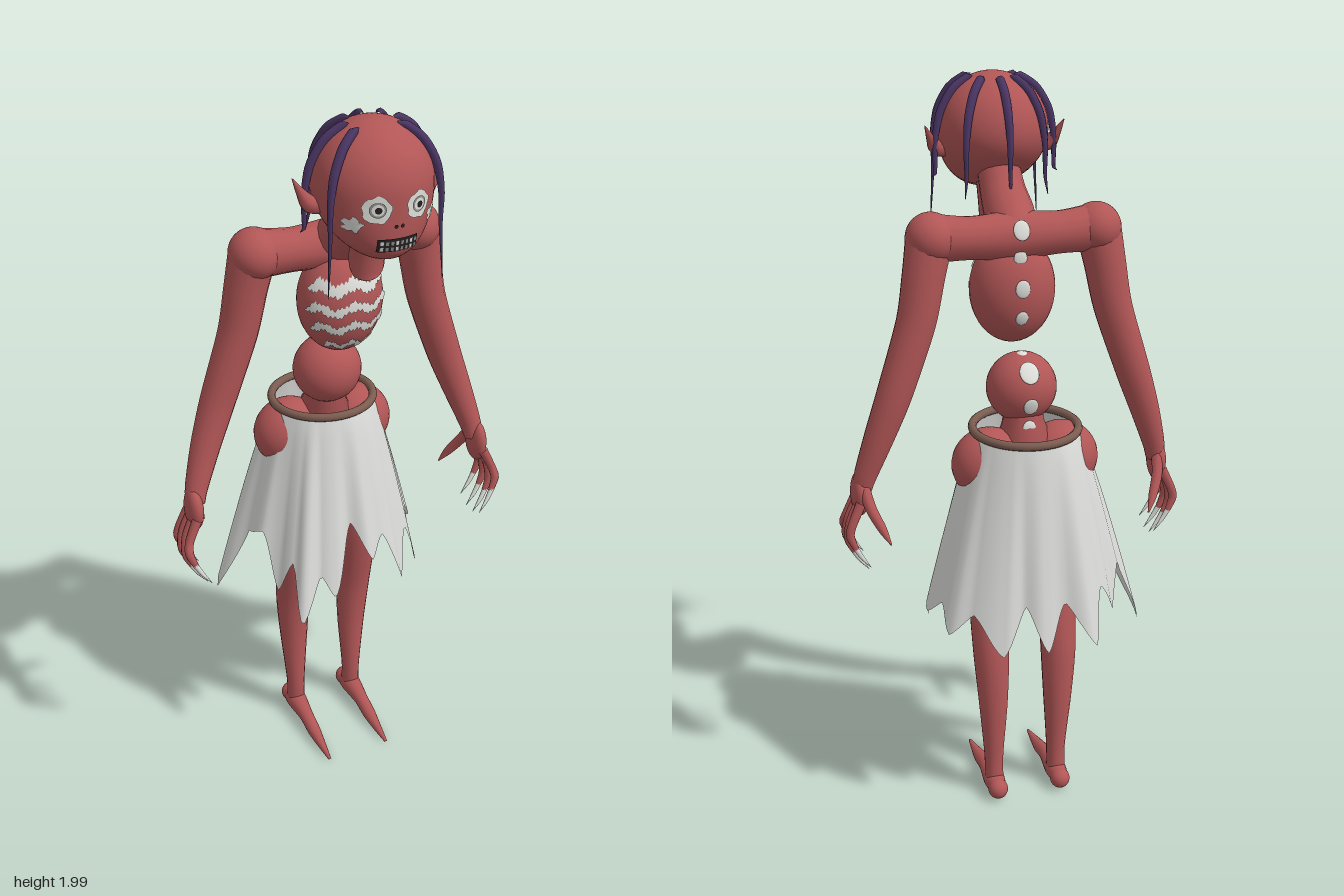
import * as THREE from 'three';

const mat = (name, color, side = THREE.FrontSide) => {
  const m = new THREE.MeshStandardMaterial({ color, side });
  m.name = name;
  return m;
};

export function createModel() {
  const root = new THREE.Group();
  const skin = mat('red skin', 0xb25656);
  const bone = mat('bone white', 0xdededa, THREE.DoubleSide);
  const cloth = mat('ragged cloth', 0xdcdcda, THREE.DoubleSide);
  const hairMat = mat('purple hair', 0x4a3563);
  const leather = mat('brown belt', 0x7b5c50);
  const grey = mat('iris grey', 0x8f918c, THREE.DoubleSide);
  const dark = mat('dark', 0x262022, THREE.DoubleSide);

  const add = (name, geo, material) => {
    const m = new THREE.Mesh(geo, material);
    m.name = name;
    root.add(m);
    return m;
  };
  const ball = (name, p, r, material = skin) => {
    const m = add(name, new THREE.SphereGeometry(1, 32, 24), material);
    m.position.set(...p);
    m.scale.set(...r);
    return m;
  };
  // Tube through [x, y, z, radius] stations
  const limb = (name, pts, material = skin, segs = 28, sides = 16) => {
    const curve = new THREE.CatmullRomCurve3(pts.map(p => new THREE.Vector3(p[0], p[1], p[2])), false, 'catmullrom', 0.4);
    const radii = new THREE.CatmullRomCurve3(pts.map(p => new THREE.Vector3(p[3], 0, 0)), false, 'catmullrom', 0.4);
    const g = new THREE.TubeGeometry(curve, segs, 1, sides);
    const pos = g.attributes.position, v = new THREE.Vector3();
    for (let i = 0; i <= segs; i++) {
      const c = curve.getPointAt(i / segs);
      const r = Math.max(0.0005, radii.getPoint(curve.getUtoTmapping(i / segs)).x);
      for (let j = 0; j <= sides; j++) {
        const k = i * (sides + 1) + j;
        v.fromBufferAttribute(pos, k).sub(c).multiplyScalar(r).add(c);
        pos.setXYZ(k, v.x, v.y, v.z);
      }
    }
    return add(name, g, material);
  };

  // Head: a sphere whose lower half is drawn forward into a chin
  const R = 0.148, HY = 1.847, HZ = 0.183;
  const headGeo = new THREE.SphereGeometry(R, 48, 36);
  const hp = headGeo.attributes.position;
  for (let i = 0; i < hp.count; i++) {
    const y = hp.getY(i);
    if (y < 0) hp.setXYZ(i, hp.getX(i), y * 1.12, hp.getZ(i) + 0.08 * (y / R) ** 2);
  }
  headGeo.computeVertexNormals();
  add('head', headGeo, skin).position.set(0, HY, HZ);

  // Lay a flat geometry on the face at (x, y)
  const onFace = (name, geo, x, y, lift, material) => {
    const p = geo.attributes.position;
    for (let i = 0; i < p.count; i++) {
      const px = p.getX(i) + x, py = p.getY(i) + y;
      const d = py - HY, yy = d < 0 ? d / 1.12 : d;
      const z = Math.sqrt(Math.max(0, R * R - px * px - yy * yy)) + (d < 0 ? 0.08 * (yy / R) ** 2 : 0);
      p.setXYZ(i, px, py, HZ + z + lift);
    }
    geo.computeVertexNormals();
    return add(name, geo, material);
  };
  const blot = (r, rough) => {
    const g = new THREE.CircleGeometry(r, 28), p = g.attributes.position;
    for (let i = 1; i < p.count; i++) {
      const a = (i - 1) / 28 * Math.PI * 2;
      const k = 1 + rough * (Math.sin(a * 5 + 1) + 0.6 * Math.sin(a * 9));
      p.setXYZ(i, p.getX(i) * k, p.getY(i) * k, 0);
    }
    return g;
  };
  for (const s of [-1, 1]) {
    onFace('eyeWhite', blot(0.033, 0.06), s * 0.052, 1.825, 0.003, bone);
    onFace('iris', new THREE.CircleGeometry(0.019, 24), s * 0.052, 1.827, 0.006, grey);
    onFace('irisLight', new THREE.CircleGeometry(0.014, 24), s * 0.052, 1.827, 0.007, bone);
    onFace('pupil', new THREE.CircleGeometry(0.008, 16), s * 0.052, 1.827, 0.009, dark);
    onFace('cheekBone', blot(0.018, 0.2), s * 0.1, 1.787, 0.004, bone);
    onFace('nostril', new THREE.CircleGeometry(0.005, 10), s * 0.008, 1.783, 0.003, dark);
    limb('ear', [[s * 0.13, 1.8, 0.18, 0.022], [s * 0.155, 1.805, 0.175, 0.022],
      [s * 0.172, 1.83, 0.165, 0.012], [s * 0.19, 1.865, 0.155, 0.001]], skin, 12, 10);
  }
  onFace('mouth', new THREE.PlaneGeometry(0.102, 0.034, 12, 4), 0, 1.737, 0.004, dark);
  for (let i = 0; i < 8; i++) for (const row of [-1, 1])
    onFace('tooth', new THREE.PlaneGeometry(0.009, 0.012), (i - 3.5) * 0.012, 1.737 + row * 0.0075, 0.009, i % 3 ? grey : bone);

  // Hair strands: [azimuth in degrees from the front, height of the tip]
  for (const [deg, tip] of [[180, 1.68], [140, 1.69], [-140, 1.69], [98, 1.73], [-98, 1.73], [60, 1.6], [-60, 1.6]]) {
    const a = deg * Math.PI / 180;
    const at = (rad, y, r) => [Math.sin(a) * rad, y, HZ + Math.cos(a) * rad, r];
    limb('hairStrand', [at(0.058, 1.982, 0.004), at(0.068, 1.982, 0.011), at(0.115, 1.95, 0.012), at(0.15, 1.892, 0.011),
      at(0.164, 1.82, 0.008), at(0.165, 1.74, 0.005), at(0.174, tip, 0.001)], hairMat, 24, 7);
  }

  // Neck, throat, shoulders and chest
  limb('neck', [[0, 1.6, -0.03, 0.06], [0, 1.65, 0.03, 0.066], [0, 1.7, 0.09, 0.06], [0, 1.78, 0.15, 0.055]]);
  limb('throat', [[0, 1.74, 0.18, 0.048], [0, 1.66, 0.165, 0.045], [0, 1.61, 0.16, 0.042], [0, 1.585, 0.16, 0.028], [0, 1.576, 0.16, 0.001]]);
  limb('shoulderBar', [[-0.23, 1.612, -0.02, 0.064], [-0.12, 1.605, -0.02, 0.056], [0, 1.605, -0.02, 0.064],
    [0.12, 1.605, -0.02, 0.056], [0.23, 1.612, -0.02, 0.064]]);
  const C = [0, 1.46, 0.003], CR = [0.115, 0.145, 0.097];
  ball('ribcage', C, CR);

  // Jagged rib bands wrapped on the chest
  const band = (yMid, half, reach) => {
    const n = 48, pos = [], idx = [];
    for (let i = 0; i <= n; i++) {
      const u = i / n * 2 - 1, a = u * reach;
      const jag = [0.006, -0.004, 0.002, -0.006, 0.004, 0][i % 6];
      const mid = yMid + 0.008 * Math.cos(u * 9);
      for (let j = 0; j < 4; j++) {
        const w = (half + jag) * Math.min(1, (1 - Math.abs(u)) * 6 + 0.1);
        const t = (mid + w * (j / 1.5 - 1) - C[1]) / CR[1];
        const k = Math.sqrt(Math.max(0, 1 - t * t));
        pos.push(Math.sin(a) * (CR[0] * k + 0.003), C[1] + t * CR[1], C[2] + Math.cos(a) * (CR[2] * k + 0.003));
        if (i < n && j < 3) {
          const b = i * 4 + j;
          idx.push(b, b + 4, b + 1, b + 1, b + 4, b + 5);
        }
      }
    }
    const g = new THREE.BufferGeometry();
    g.setAttribute('position', new THREE.Float32BufferAttribute(pos, 3));
    g.setIndex(idx);
    g.computeVertexNormals();
    add('rib', g, bone);
  };
  band(1.525, 0.015, 1.25);
  band(1.468, 0.012, 1.25);
  band(1.415, 0.012, 1.15);
  band(1.357, 0.01, 0.95);

  // Pelvis and hips
  ball('belly', [0, 1.214, -0.08], [0.094, 0.094, 0.09]);
  limb('waist', [[0, 1.2, -0.085, 0.06], [0, 1.13, -0.095, 0.055], [0, 1.06, -0.105, 0.08], [0, 0.98, -0.105, 0.07]]);

  // Spine knobs: thin spots facing out of the back
  for (const [y, z, ny, nz, r] of [[1.63, -0.081, 0.35, -1, 0.022], [1.555, -0.071, 0, -1, 0.018], [1.48, -0.094, 0, -1, 0.02],
    [1.4, -0.086, -0.3, -1, 0.017], [1.272, -0.15, 0.65, -0.8, 0.026], [1.185, -0.166, -0.3, -1, 0.02],
    [1.305, -0.085, 1, -0.08, 0.014], [1.12, -0.152, 0.1, -1, 0.018]]) {
    const m = ball('spineKnob', [0, y, z], [r, r * 1.2, 0.005], bone);
    m.lookAt(0, y + ny, z + nz);
  }

  for (const s of [-1, 1]) {
    // Arm
    ball('shoulder', [s * 0.222, 1.612, -0.02], [0.066, 0.066, 0.072]);
    limb('arm', [[s * 0.225, 1.62, -0.02, 0.062], [s * 0.245, 1.52, -0.028, 0.056], [s * 0.27, 1.395, -0.033, 0.052],
      [s * 0.332, 1.21, -0.035, 0.047], [s * 0.375, 1.09, -0.025, 0.04], [s * 0.412, 0.98, -0.008, 0.031], [s * 0.42, 0.94, 0, 0.026]]);
    ball('palm', [s * 0.427, 0.925, 0.005], [0.024, 0.062, 0.045]);
    // Fingers with claws, and the thumb
    for (const z of [0.04, 0.016, -0.008, -0.03]) {
      const k = z > 0.03 || z < -0.02 ? 0.02 : 0;
      limb('finger', [[s * 0.43, 0.91, z, 0.014], [s * 0.458, 0.85, z * 1.2, 0.012],
        [s * 0.464, 0.8 + k, z * 1.4 + 0.005, 0.012], [s * 0.45, 0.762 + k, z * 1.5 + 0.007, 0.008]], skin, 14, 9);
      limb('claw', [[s * 0.453, 0.768 + k, z * 1.5 + 0.007, 0.008], [s * 0.435, 0.735 + k, z * 1.55 + 0.01, 0.006],
        [s * 0.41, 0.7 + k, z * 1.6 + 0.012, 0.0005]], bone, 8, 8);
    }
    limb('thumb', [[s * 0.42, 0.955, -0.015, 0.016], [s * 0.408, 0.9, -0.05, 0.015],
      [s * 0.385, 0.85, -0.08, 0.012], [s * 0.366, 0.81, -0.1, 0.002]], skin, 14, 9);

    // Leg and foot
    ball('hip', [s * 0.1, 1.02, -0.115], [0.1, 0.098, 0.09]);
    limb('leg', [[s * 0.1, 1.02, -0.11, 0.08], [s * 0.1, 0.85, -0.09, 0.066], [s * 0.1, 0.65, -0.086, 0.054],
      [s * 0.098, 0.45, -0.118, 0.05], [s * 0.095, 0.3, -0.126, 0.041], [s * 0.093, 0.12, -0.122, 0.027], [s * 0.093, 0.04, -0.125, 0.027]]);
    ball('heel', [s * 0.093, 0.034, -0.165], [0.028, 0.029, 0.029]);
    limb('foot', [[s * 0.093, 0.036, -0.17, 0.024], [s * 0.093, 0.04, -0.12, 0.03], [s * 0.093, 0.035, -0.04, 0.021],
      [s * 0.093, 0.023, 0.02, 0.019], [s * 0.093, 0.014, 0.08, 0.012], [s * 0.093, 0.007, 0.14, 0.004]]);
  }

  // Belt
  const belt = add('belt', new THREE.TorusGeometry(0.14, 0.0115, 10, 48), leather);
  belt.position.set(0, 1.114, -0.115);
  belt.rotation.x = Math.PI / 2 - 0.035;

  // Ragged skirt: hem stations are [degrees from the front, radius, height]
  const hem = [[0, .19, .8], [14, .23, .68], [26, .22, .74], [42, .25, .56], [55, .24, .7], [68, .27, .54], [80, .25, .7],
    [94, .28, .62], [108, .27, .67], [118, .28, .6], [130, .25, .66], [150, .24, .55], [164, .2, .68], [180, .22, .55],
    [195, .2, .68], [212, .26, .55], [224, .23, .7], [240, .25, .6], [252, .25, .72], [262, .32, .52], [276, .24, .74],
    [292, .24, .77], [306, .25, .6], [316, .24, .7], [325, .3, .53], [335, .23, .66], [345, .24, .59], [360, .19, .8]];
  const N = 180, ROWS = 16, sp = [], si = [];
  for (let i = 0; i <= N; i++) {
    const deg = i / N * 360, a = deg * Math.PI / 180;
    let k = 0;
    while (k < hem.length - 2 && deg >= hem[k + 1][0]) k++;
    const [d0, r0, y0] = hem[k], [d1, r1, y1] = hem[k + 1];
    const f = (deg - d0) / (d1 - d0), sm = f * f * (3 - 2 * f);
    const hr = r0 + (r1 - r0) * sm, hy = y0 + (y1 - y0) * (0.5 * f + 0.5 * sm);
    for (let j = 0; j <= ROWS; j++) {
      const t = j / ROWS, y = 1.112 + (hy - 1.112) * t;
      const r = 0.138 + (hr - 0.138) * t ** 0.85 + 0.004 * Math.sin(a * 13) * t;
      sp.push(Math.sin(a) * r, y, -0.115 + Math.cos(a) * r);
      if (i < N && j < ROWS) {
        const b = i * (ROWS + 1) + j, c = b + ROWS + 1;
        si.push(b, b + 1, c, b + 1, c + 1, c);
      }
    }
  }
  const skirt = new THREE.BufferGeometry();
  skirt.setAttribute('position', new THREE.Float32BufferAttribute(sp, 3));
  skirt.setIndex(si);
  skirt.computeVertexNormals();
  add('skirt', skirt, cloth);

  return root;
}
